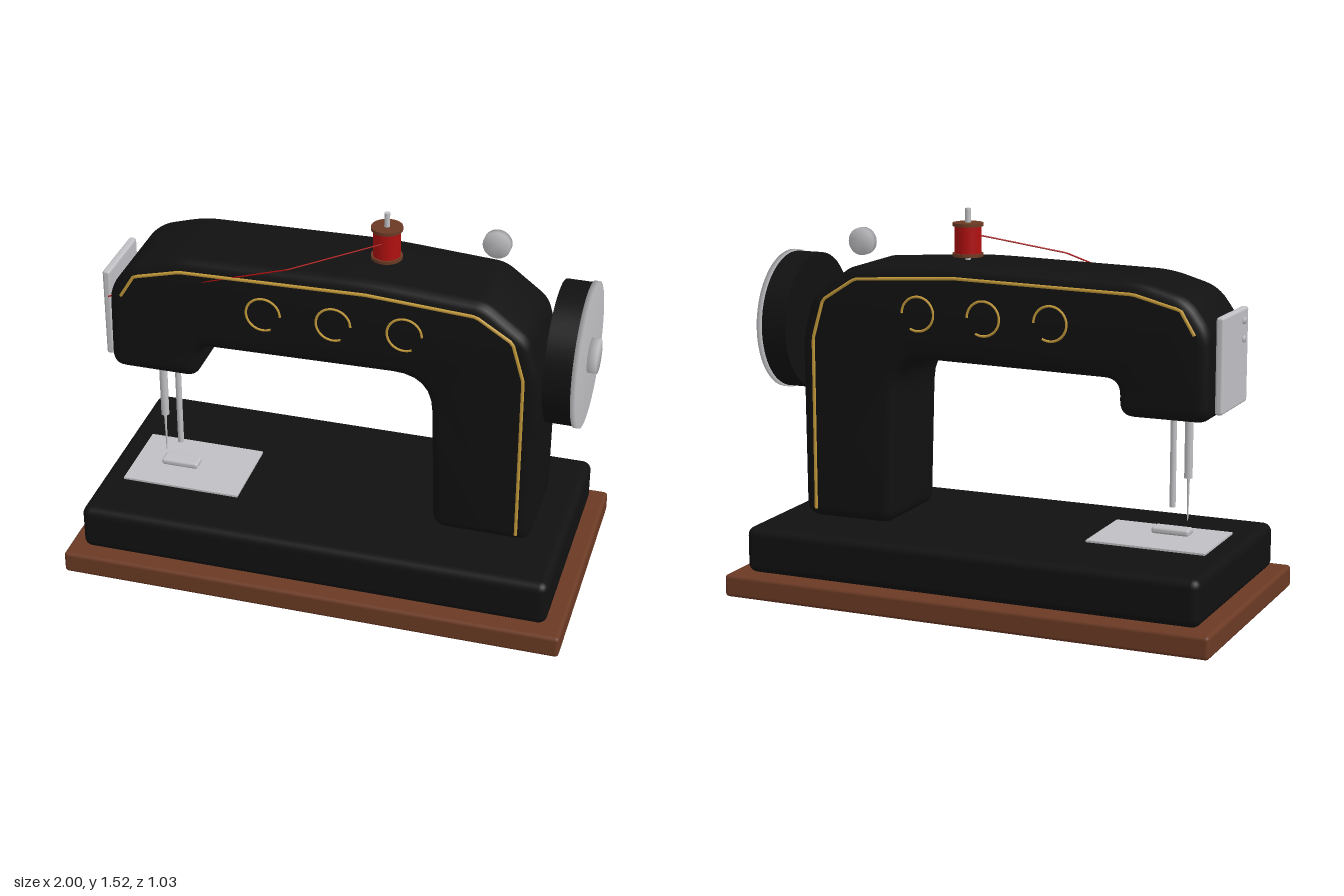
import * as THREE from 'three';
import { toCreasedNormals } from 'three/addons/utils/BufferGeometryUtils.js';
import { RoundedBoxGeometry } from 'three/addons/geometries/RoundedBoxGeometry.js';

const mat = (name, color) => Object.assign(new THREE.MeshStandardMaterial({ color }), { name });

export function createModel() {
  const black = mat('black enamel', 0x111111);
  const wood = mat('brown wood', 0x6b3a24);
  const silver = mat('silver metal', 0xc0c0c4);
  const gold = mat('gold trim', 0xc49a3a);
  const red = mat('red thread', 0xb01010);

  const model = new THREE.Group();
  model.name = 'sewingMachine';

  const add = (name, geometry, material, x = 0, y = 0, z = 0, parent = model) => {
    const mesh = new THREE.Mesh(geometry, material);
    mesh.name = name;
    mesh.position.set(x, y, z);
    parent.add(mesh);
    return mesh;
  };

  // Rounded box from its limits
  const box = (name, material, [x0, x1], [y0, y1], [z0, z1], r) =>
    add(name, new RoundedBoxGeometry(x1 - x0, y1 - y0, z1 - z0, 3, r), material,
      (x0 + x1) / 2, (y0 + y1) / 2, (z0 + z1) / 2);

  // Disc along y with softly shaded rims
  const softDisc = (r, h) => new THREE.LatheGeometry(
    [[0, -h / 2], [r, -h / 2], [r, h / 2], [0, h / 2]].map(p => new THREE.Vector2(...p)), 48);

  // Thin cord following straight runs between points
  const cord = (points, radius) => {
    const path = new THREE.CurvePath();
    const v = points.map(p => new THREE.Vector3(...p));
    for (let i = 1; i < v.length; i++) path.add(new THREE.LineCurve3(v[i - 1], v[i]));
    return new THREE.TubeGeometry(path, 120, radius, 6);
  };

  // Closed outline with each corner [x, y, r] rounded off
  const roundedShape = corners => {
    const shape = new THREE.Shape();
    const n = corners.length;
    const v = corners.map(c => new THREE.Vector2(c[0], c[1]));
    const toward = (a, b, d) => a.clone().add(b.clone().sub(a).setLength(d));
    corners.forEach(([x, y, r], i) => {
      const p = toward(v[i], v[(i + n - 1) % n], r);
      const q = toward(v[i], v[(i + 1) % n], r);
      if (i) shape.lineTo(p.x, p.y); else shape.moveTo(p.x, p.y);
      shape.quadraticCurveTo(x, y, q.x, q.y);
    });
    shape.closePath();
    return shape;
  };

  // Base
  box('woodenBase', wood, [-1, 1], [0, 0.09], [-0.515, 0.515], 0.015);
  box('bed', black, [-0.94, 0.935], [0.09, 0.275], [-0.455, 0.455], 0.035);

  // Column, arm and head as one bevelled casting
  const outline = roundedShape([
    [0.42, 0.275, 0.06], [0.81, 0.275, 0.06], [0.815, 1.0, 0.05], [0.77, 1.16, 0.04],
    [0.6, 1.29, 0.04], [0.15, 1.32, 0.1], [-0.6, 1.305, 0.06], [-0.79, 1.25, 0.06],
    [-0.875, 1.13, 0.05], [-0.88, 0.79, 0.06], [-0.52, 0.79, 0.06], [-0.52, 0.93, 0.06],
    [0.4, 0.945, 0.15],
  ]);
  const bevel = 0.045;
  const bodyGeo = new THREE.ExtrudeGeometry(outline, {
    depth: 0.4 - 2 * bevel, curveSegments: 6, bevelEnabled: true,
    bevelSize: bevel, bevelThickness: bevel, bevelOffset: -bevel, bevelSegments: 4,
  });
  bodyGeo.translate(0, 0, bevel - 0.2);
  add('body', toCreasedNormals(bodyGeo, 0.6), black);

  // Gold lining and open rings on both sides
  const lining = [[0.755, 0.31], [0.755, 1.0], [0.71, 1.155], [0.57, 1.245], [0.15, 1.272],
    [-0.58, 1.257], [-0.765, 1.21], [-0.82, 1.12]];
  for (const [side, z] of [['front', 0.201], ['back', -0.201]]) {
    add(side + 'Lining', cord(lining.map(p => [...p, z]), 0.007), gold);
    for (const x of [-0.25, 0.025, 0.3])
      add(side + 'Ring', new THREE.TorusGeometry(0.067, 0.005, 6, 32, 5.2), gold, x, 1.125, z);
  }

  // Handwheel
  const wheel = new THREE.Group();
  wheel.name = 'handwheel';
  wheel.position.set(0, 1.035, 0);
  wheel.rotation.z = -Math.PI / 2;
  model.add(wheel);
  add('wheelDrum', new THREE.CylinderGeometry(0.272, 0.272, 0.11, 48), black, 0, 0.895, 0, wheel);
  add('wheelDisc', softDisc(0.278, 0.02), silver, 0, 0.955, 0, wheel);
  add('wheelHub', softDisc(0.066, 0.04), silver, 0, 0.98, 0, wheel);

  // Winder knob
  add('winderKnob', softDisc(0.054, 0.028), silver, 0.572, 1.383, -0.122).rotation.x = Math.PI / 2;

  // Spool on its pin
  const spoolX = 0.177;
  add('spoolPin', new THREE.CylinderGeometry(0.011, 0.011, 0.215, 16), silver, spoolX, 1.41);
  add('spoolThread', new THREE.CylinderGeometry(0.052, 0.052, 0.11, 32), red, spoolX, 1.395);
  for (const y of [1.337, 1.455])
    add('spoolFlange', new THREE.CylinderGeometry(0.06, 0.06, 0.013, 32), wood, spoolX, y);

  // Loose thread
  add('thread', cord([[0.17, 1.41, 0.05], [-0.15, 1.335, 0.205], [-0.48, 1.23, 0.198],
    [-0.885, 1.09, 0.17]], 0.003), red);

  // Face plate with screws
  box('facePlate', silver, [-0.914, -0.884], [0.82, 1.185], [-0.15, 0.15], 0.01);
  for (const y of [1.07, 1.14])
    add('plateScrew', softDisc(0.013, 0.012), silver, -0.916, y, 0.085).rotation.z = Math.PI / 2;

  // Needle, presser and stitch plate
  const z = 0.062;
  add('needleBar', new THREE.CylinderGeometry(0.016, 0.016, 0.3, 20), silver, -0.716, 0.67, z);
  add('needle', new THREE.CylinderGeometry(0.006, 0.002, 0.17, 10), silver, -0.716, 0.437, z);
  add('presserBar', new THREE.CylinderGeometry(0.012, 0.012, 0.42, 20), silver, -0.654, 0.61, z);
  box('presserFoot', silver, [-0.73, -0.578], [0.294, 0.32], [0.03, 0.095], 0.01);
  add('stitchPlate', new THREE.BoxGeometry(0.48, 0.009, 0.335), silver, -0.61, 0.2785, 0.0425);

  return model;
}
